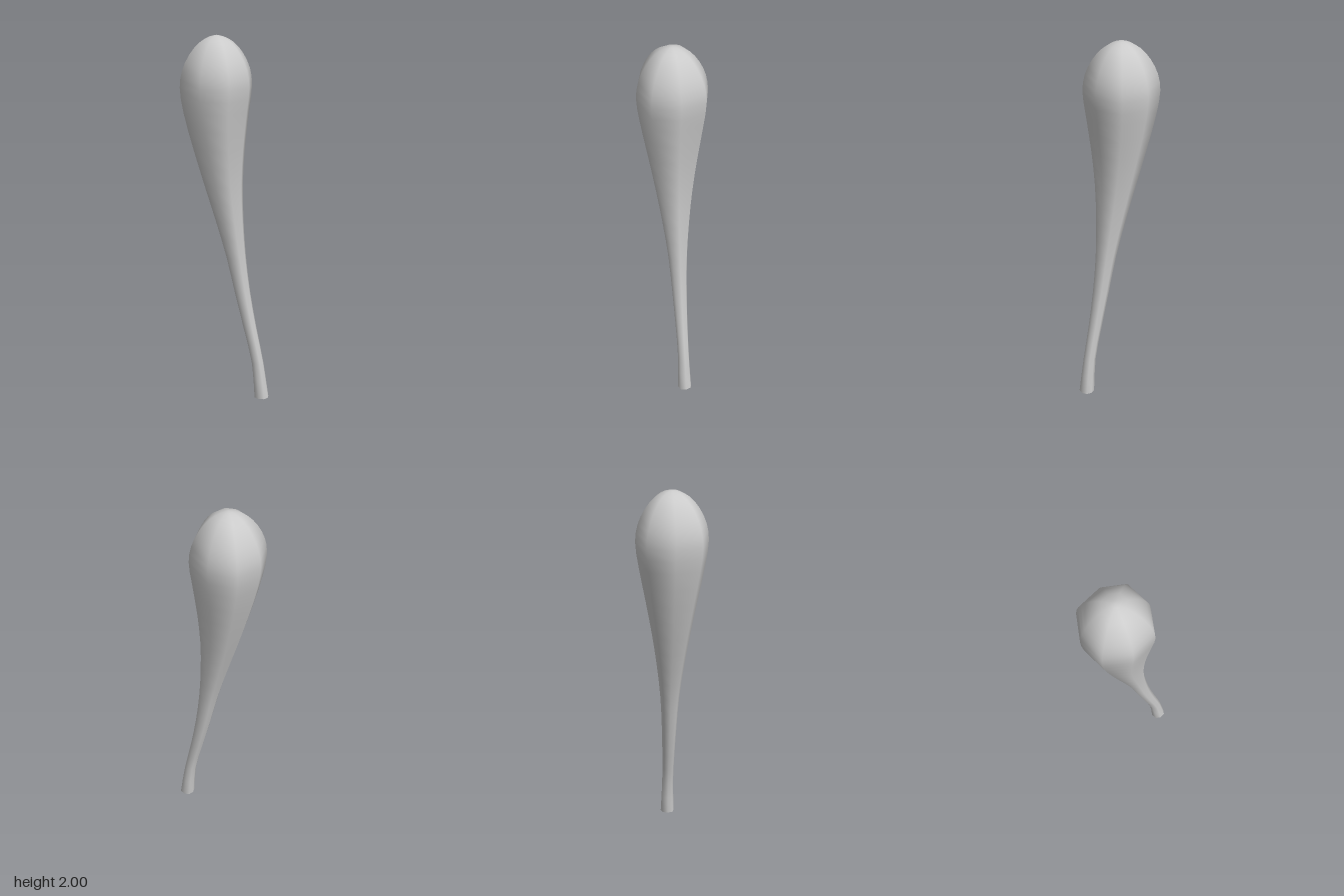
import * as THREE from 'three';
import { mergeVertices } from 'three/addons/utils/BufferGeometryUtils.js';

// Each station: centre x, height y, radius
const STATIONS = [
  [0.213, 0, 0.039], [0.188, 0.2, 0.032], [0.14, 0.4, 0.035], [0.094, 0.6, 0.042],
  [0.055, 0.8, 0.053], [0.016, 1.0, 0.075], [-0.02, 1.2, 0.104], [-0.046, 1.4, 0.139],
  [-0.062, 1.6, 0.176], [-0.064, 1.73, 0.192], [-0.064, 1.82, 0.179],
  [-0.064, 1.9, 0.142], [-0.064, 1.96, 0.092], [-0.064, 1.99, 0.04], [-0.064, 2.0, 0],
];
const SIDES = 8;

export function createModel() {
  const group = new THREE.Group();
  group.name = 'club';

  // Smooth the stations into closely spaced rings
  const curve = new THREE.CatmullRomCurve3(STATIONS.map(([x, y, r]) => new THREE.Vector3(x, y, r)));
  const rings = curve.getPoints((STATIONS.length - 1) * 2);
  rings[rings.length - 1].z = 0;

  // Eight-sided lathe, then slide each ring sideways along the bend
  let geometry = new THREE.LatheGeometry(rings.map((p) => new THREE.Vector2(Math.max(p.z, 0), p.y)), SIDES);
  const pos = geometry.attributes.position;
  for (let i = 0; i < pos.count; i++) {
    const ring = i % rings.length;
    const side = Math.floor(i / rings.length);
    const swell = side % 2 ? 1.06 : 1; // diagonal corners stand out slightly
    pos.setX(i, pos.getX(i) * swell + rings[ring].x);
    pos.setZ(i, pos.getZ(i) * swell);
  }

  // Weld the seam and pole for continuous smooth shading
  geometry.deleteAttribute('normal');
  geometry.deleteAttribute('uv');
  geometry = mergeVertices(geometry, 1e-5);
  geometry.computeVertexNormals();

  // Open at the foot of the handle
  const material = new THREE.MeshStandardMaterial({ color: 0xcccccc, side: THREE.DoubleSide });
  const body = new THREE.Mesh(geometry, material);
  body.name = 'curvedClubBody';
  group.add(body);
  return group;
}
